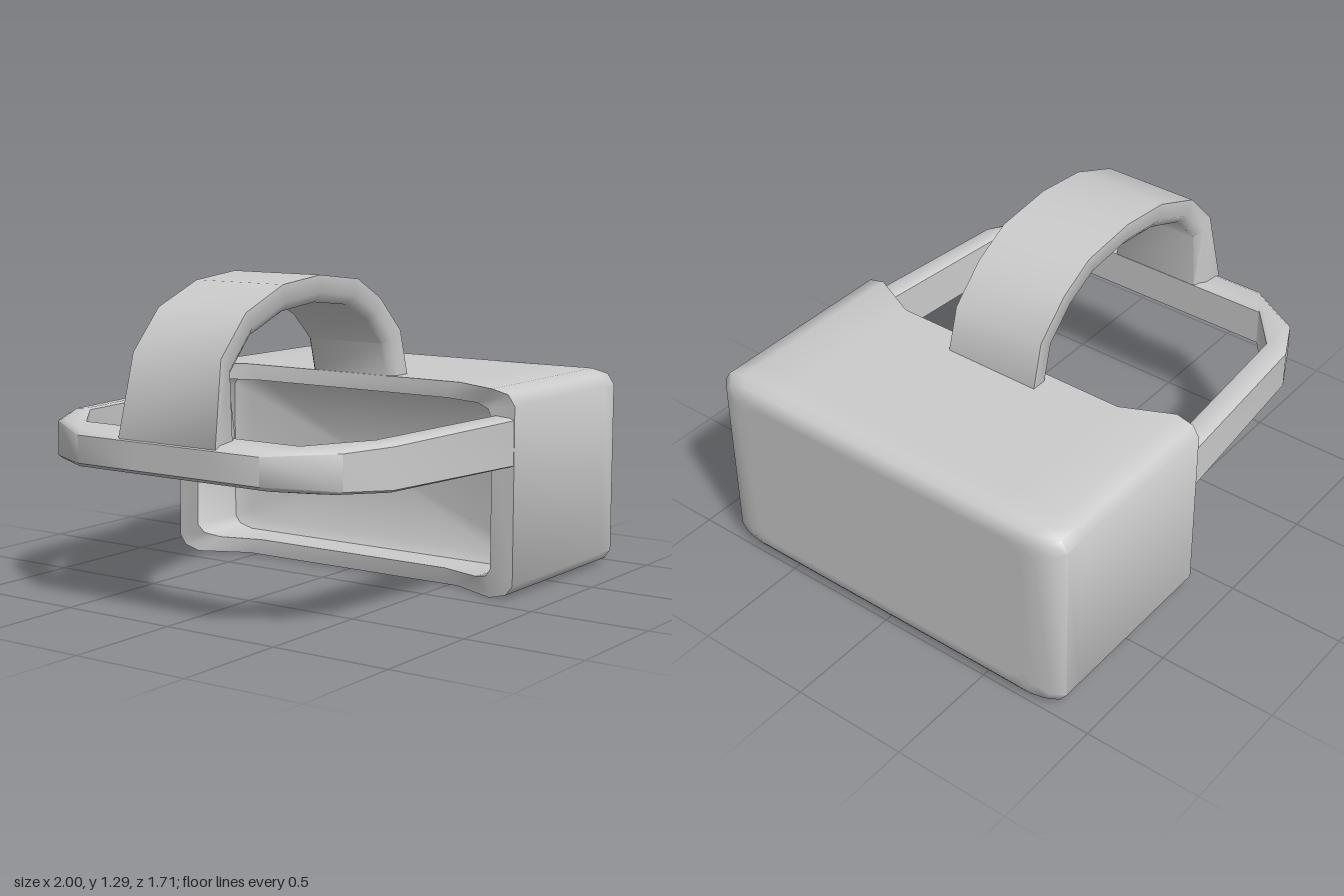
import * as THREE from 'three';
import { toCreasedNormals } from 'three/addons/utils/BufferGeometryUtils.js';

const material = new THREE.MeshStandardMaterial({ color: 0xcccccc });
const { lerp, clamp } = THREE.MathUtils;

// Skins a list of closed rings (counter-clockwise about the travel direction) and caps both ends.
function loft(name, rings, crease) {
  const n = rings[0].length;
  const pos = rings.flat(2);
  const index = [];
  for (let i = 0; i < rings.length - 1; i++) {
    for (let j = 0; j < n; j++) {
      const a = i * n + j, b = i * n + (j + 1) % n;
      index.push(a, b, b + n, a, b + n, a + n);
    }
  }
  const cap = (ring, start, flip) => {
    const c = pos.length / 3;
    for (let k = 0; k < 3; k++) pos.push(ring.reduce((s, p) => s + p[k], 0) / n);
    for (let j = 0; j < n; j++) {
      const a = start + j, b = start + (j + 1) % n;
      if (flip) index.push(c, b, a);
      else index.push(c, a, b);
    }
  };
  cap(rings[0], 0, true);
  cap(rings[rings.length - 1], (rings.length - 1) * n, false);
  const geo = new THREE.BufferGeometry();
  geo.setAttribute('position', new THREE.Float32BufferAttribute(pos, 3));
  geo.setIndex(index);
  const mesh = new THREE.Mesh(toCreasedNormals(geo, crease), material);
  mesh.name = name;
  return mesh;
}

// Hollow face box: recess, rear rim set back between chamfered cheeks, rounded outer shell.
function createHousing() {
  const half = [
    [0.54, 0], [0.75, 0], [0.825, 0.02], [0.855, 0.06],
    [0.855, 0.78], [0.825, 0.825], [0.75, 0.843], [0.54, 0.843],
  ];
  const section = [...half.map(([z, y]) => [-z, y]), ...half.slice().reverse()];
  const rimX = (z) => 0.1 + 0.1 * clamp((0.75 - Math.abs(z)) / 0.21, 0, 1);
  const ring = (x, sz, sy) => section.map(([z, y]) => [
    x ?? rimX(z * sz), 0.42 + (y - 0.42) * sy, z * sz,
  ]);
  return loft('housing', [
    ring(0.4, 0.8, 0.74),
    ring(0.37, 0.88, 0.84),
    ring(null, 0.88, 0.84),
    ring(null, 1, 1),
    ring(0.85, 1, 1),
    ring(0.94, 1, 1),
    ring(0.98, 0.95, 0.96),
    ring(1, 0.87, 0.89),
    ring(1, 0.8, 0.8),
  ], 0.9);
}

// Band running round the head: [outerX, outerZ, innerX, innerZ, halfHeight, outerHalfHeight].
function createHeadBand() {
  const side = [
    [0.16, 0.84, 0.16, 0.765, 0.103, 0.09],
    [0.1, 0.853, 0.1, 0.753, 0.103, 0.09],
    [-0.65, 0.79, -0.65, 0.695, 0.098, 0.08],
    [-0.84, 0.695, -0.84, 0.54, 0.09, 0.07],
    [-1, 0.44, -0.84, 0.535, 0.085, 0.055],
    [-1, 0.15, -0.84, 0.15, 0.085, 0.055],
  ];
  const stations = [
    ...side.map(([ox, oz, ix, iz, h, ho]) => [ox, -oz, ix, -iz, h, ho]),
    ...side.slice().reverse(),
  ];
  const rings = stations.map(([ox, oz, ix, iz, h, ho]) => [
    [0.15, h], [0.8, lerp(ho, h, 0.6)], [1, ho], [1, -ho],
    [0.8, -lerp(ho, h, 0.6)], [0.15, -h], [0, -h * 0.93], [0, h * 0.93],
  ].map(([t, y]) => [lerp(ix, ox, t), 0.635 + y, lerp(iz, oz, t)]));
  return loft('headBand', rings, 0.9);
}

// Wide strap arching over the head: [outerX, outerY, innerX, innerY, halfWidth].
function createTopStrap() {
  const stations = [
    [-0.97, 0.64, -0.86, 0.64, 0.225],
    [-0.995, 0.7, -0.84, 0.72, 0.235],
    [-0.93, 1.02, -0.85, 0.95, 0.212],
    [-0.78, 1.18, -0.72, 1.09, 0.212],
    [-0.55, 1.27, -0.52, 1.165, 0.212],
    [-0.31, 1.293, -0.31, 1.185, 0.212],
    [-0.05, 1.262, -0.09, 1.16, 0.212],
    [0.11, 1.175, 0.05, 1.09, 0.212],
    [0.26, 1.03, 0.165, 0.98, 0.212],
    [0.31, 0.84, 0.205, 0.84, 0.215],
    [0.31, 0.8, 0.21, 0.8, 0.215],
  ];
  const rings = stations.map(([ox, oy, ix, iy, w]) => [
    [0.35, -w], [1, -w], [1, w], [0.35, w], [0, w - 0.03], [0, 0.03 - w],
  ].map(([t, z]) => [lerp(ix, ox, t), lerp(iy, oy, t), z]));
  return loft('topStrap', rings, 1.0);
}

export function createModel() {
  const group = new THREE.Group();
  group.name = 'headset';
  group.add(createHousing(), createHeadBand(), createTopStrap());
  return group;
}
